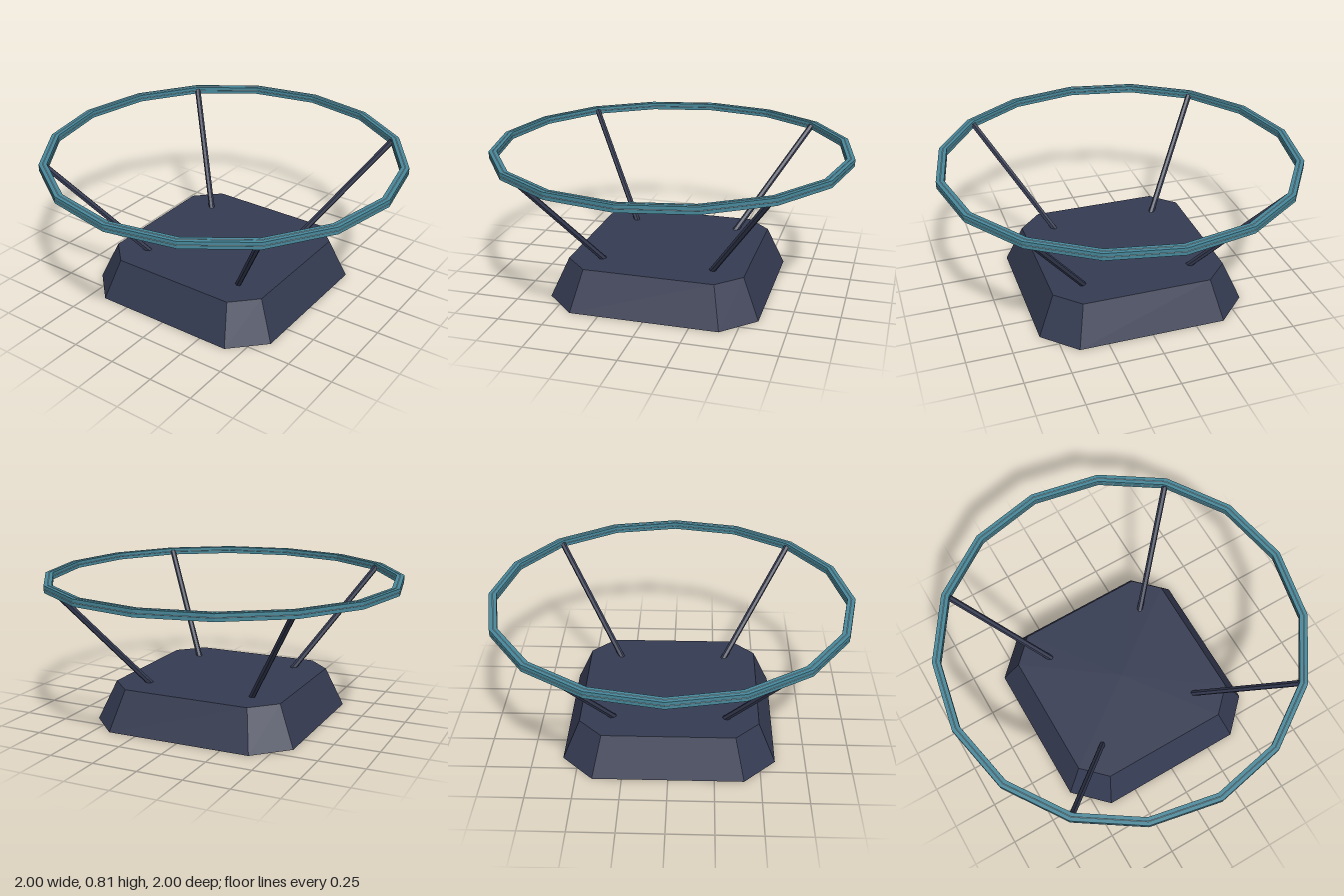
import * as THREE from 'three';

const RING_Y = 0.784, RING_R = 0.9765, SIDES = 16;

const flat = (name, color) => {
  const m = new THREE.MeshStandardMaterial({ color, flatShading: true });
  m.name = name;
  return m;
};

// Faceted hoop swept from a closed cross-section of [radial, vertical] offsets
const hoop = (section) => new THREE.LatheGeometry(
  [...section, section[0]].map(([r, y]) => new THREE.Vector2(RING_R + r, y)), SIDES);

export function createModel() {
  const model = new THREE.Group();
  model.name = 'ringStand';
  const slate = flat('slate', 0x343a51);
  const teal = flat('teal', 0x478799);
  const pale = flat('paleTrim', 0xb8c8d8);

  const add = (name, geo, mat) => {
    const mesh = new THREE.Mesh(geo, mat);
    mesh.name = name;
    model.add(mesh);
    return mesh;
  };

  // Base: tapered block, an octagon with four long and four short sides
  const baseGeo = new THREE.CylinderGeometry(1, 1, 0.22, 8).toNonIndexed();
  const p = baseGeo.attributes.position;
  for (let i = 0; i < p.count; i++) {
    const x = p.getX(i), z = p.getZ(i), top = p.getY(i) > 0;
    if (Math.hypot(x, z) < 0.5) continue;
    const k = (Math.round(Math.atan2(x, z) / (Math.PI / 4)) + 8) % 8;
    const long = top ? 0.49 : 0.585, short = top ? 0.36 : 0.41;
    const [u, v] = k % 2 ? [long, short] : [short, long];
    const quarter = Math.floor(k / 2) * Math.PI / 2;
    const c = Math.round(Math.cos(quarter)), s = Math.round(Math.sin(quarter));
    p.setXYZ(i, u * c + v * s, p.getY(i), v * c - u * s);
  }
  baseGeo.computeVertexNormals();
  add('base', baseGeo, slate).position.y = 0.11;

  // Four struts leaning out from the base to the ring
  const up = new THREE.Vector3(0, 1, 0);
  for (const sx of [-1, 1]) for (const sz of [-1, 1]) {
    const a = new THREE.Vector3(0.297 * sx, 0.2, 0.297 * sz);
    const b = new THREE.Vector3(0.678 * sx, 0.785, 0.678 * sz);
    const dir = b.clone().sub(a);
    const strut = add('strut', new THREE.CylinderGeometry(0.017, 0.017, dir.length(), 6), slate);
    strut.position.copy(a).add(b).multiplyScalar(0.5);
    strut.quaternion.setFromUnitVectors(up, dir.normalize());
  }

  // Ring with a square section
  const w = 0.0215, h = 0.0195;
  add('ring', hoop([[w, -h], [w, h], [-w, h], [-w, -h]]), teal).position.y = RING_Y;

  // Pale core whose edges show as a hairline along the middle of each ring face
  const cw = w + 0.0015, ch = h + 0.0015;
  add('trimLine', hoop([[0, -ch], [cw, 0], [0, ch], [-cw, 0]]), pale).position.y = RING_Y;

  return model;
}
